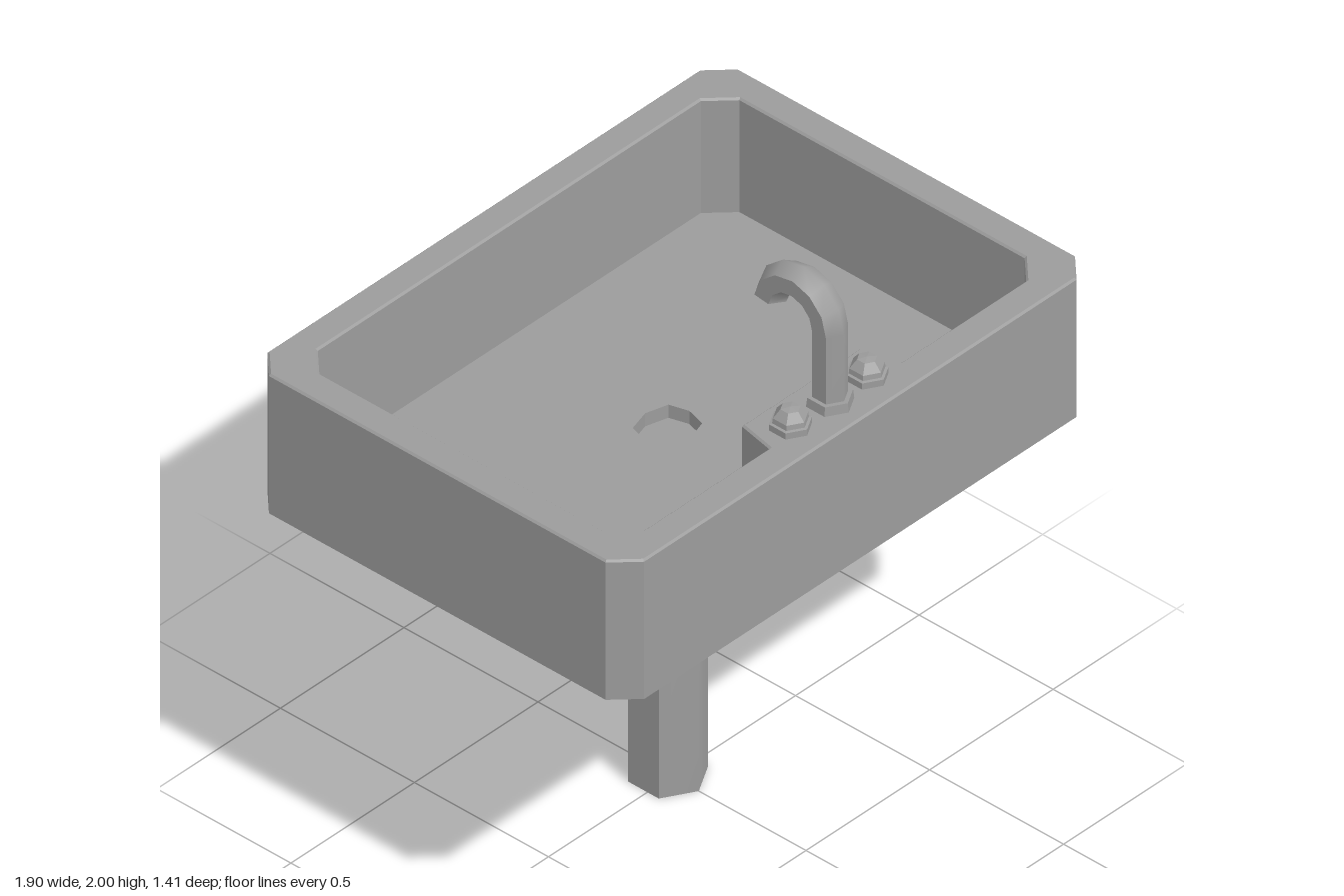
import * as THREE from 'three';
import { mergeGeometries } from 'three/addons/utils/BufferGeometryUtils.js';

const smooth = new THREE.MeshStandardMaterial({ color: 0x9c9c9c });
const flat = new THREE.MeshStandardMaterial({ color: 0x9c9c9c, flatShading: true });

const toPoints = (list) => list.map(([x, z]) => new THREE.Vector2(x, z));

// Rectangle in x and z with cut corners; extra points may interrupt the front edge
function cutRectangle(x, z, cut, frontEdge = []) {
  return toPoints([
    [-x, -z + cut], [-x + cut, -z], [x - cut, -z], [x, -z + cut],
    [x, z - cut], [x - cut, z], ...frontEdge, [-x + cut, z], [-x, z - cut],
  ]);
}

// Horizontal slab between two heights, with an optional hole and softened edges
function slab(outline, bottom, top, hole, bevel = 0) {
  const shape = new THREE.Shape(outline);
  if (hole) shape.holes.push(new THREE.Path(hole));
  const geometry = new THREE.ExtrudeGeometry(shape, {
    depth: top - bottom - 2 * bevel, bevelEnabled: bevel > 0, bevelSegments: 1,
    bevelSize: bevel, bevelThickness: bevel, bevelOffset: -bevel,
  });
  return geometry.rotateX(Math.PI / 2).translate(0, top - bevel, 0);
}

const third = Math.PI / 3;

// Six-sided post: flat left and right sides, rounded shading at front and back
function hexPost(radius, height) {
  const parts = [];
  for (const turn of [0, Math.PI]) {
    const ridge = new THREE.CylinderGeometry(radius, radius, height, 2, 1, true, turn - third, 2 * third);
    const side = new THREE.CylinderGeometry(radius, radius, height, 1, 1, true, turn + third, third);
    parts.push(ridge, side);
  }
  for (const end of [1, -1]) {
    parts.push(new THREE.CircleGeometry(radius, 6, Math.PI / 2)
      .rotateX(-end * Math.PI / 2).translate(0, end * height / 2, 0));
  }
  parts.forEach((part) => part.computeVertexNormals());
  return mergeGeometries(parts).translate(0, height / 2, 0);
}

// Six-sided bent pipe with the same shading, rising from +z and curving over to -z
function hexBend(radius, bend, sweep) {
  const parts = [[-1, 0, 1], [1, 2], [2, 3, 4], [4, 5]].map((corners) => {
    const profile = corners.map((i) => new THREE.Vector2(
      bend + radius * Math.cos(i * third), radius * Math.sin(i * third)));
    return new THREE.LatheGeometry(profile, 6, 0, sweep);
  });
  return mergeGeometries(parts).rotateZ(Math.PI / 2);
}

export function createModel() {
  const model = new THREE.Group();
  model.name = 'pedestalSink';

  function add(parent, name, geometry, material, x = 0, y = 0, z = 0) {
    const mesh = new THREE.Mesh(geometry, material);
    mesh.name = name;
    mesh.position.set(x, y, z);
    parent.add(mesh);
  }

  // Basin: bottom, floor with a recessed drain, and walls with a tap ledge
  const basin = new THREE.Group();
  basin.name = 'basin';
  model.add(basin);
  const outer = cutRectangle(0.95, 0.703, 0.075);
  const ledge = [[0.265, 0.607], [0.24, 0.482], [-0.24, 0.482], [-0.265, 0.607]];
  const opening = cutRectangle(0.85, 0.607, 0.075, ledge);
  const drain = toPoints([
    [0, -0.1], [0.072, -0.08], [0.09, -0.018], [0.072, 0.046],
    [0, 0.068], [-0.072, 0.046], [-0.09, -0.018], [-0.072, -0.08],
  ]);
  add(basin, 'basinBottom', slab(outer, 1.108, 1.15), flat);
  add(basin, 'basinFloor', slab(outer, 1.15, 1.195, drain), flat);
  add(basin, 'basinWalls', slab(outer, 1.18, 1.585, opening, 0.006), flat);

  // Pedestal
  add(model, 'pedestal', hexPost(0.115, 1.12), smooth, 0, 0, -0.015);

  // Tap: collar, stem and hooked spout with a closed tip
  const tap = new THREE.Group();
  tap.name = 'tap';
  tap.position.set(0, 1.58, 0.59);
  model.add(tap);
  const tube = 0.052, bend = 0.108, sweep = THREE.MathUtils.degToRad(173);
  add(tap, 'tapCollar', new THREE.CylinderGeometry(0.066, 0.07, 0.035, 6), flat, 0, 0.0175, 0);
  add(tap, 'tapStem', hexPost(tube, 0.26), smooth);
  add(tap, 'tapSpout', hexBend(tube, bend, sweep), smooth, 0, 0.26, -bend);
  const tip = new THREE.CircleGeometry(tube, 6).rotateX(-Math.PI / 2)
    .translate(bend, 0, 0).rotateZ(sweep).rotateY(-Math.PI / 2);
  add(tap, 'tapTip', tip, flat, 0, 0.26, -bend);

  // Tap handles
  const knob = toPoints([
    [0, 0], [0.062, 0], [0.062, 0.026], [0.053, 0.028], [0.051, 0.044], [0.029, 0.07], [0, 0.074],
  ]);
  for (const [name, side] of [['leftHandle', 1], ['rightHandle', -1]]) {
    add(model, name, new THREE.LatheGeometry(knob, 6), flat, side * 0.155, 1.58, 0.585);
  }
  return model;
}
